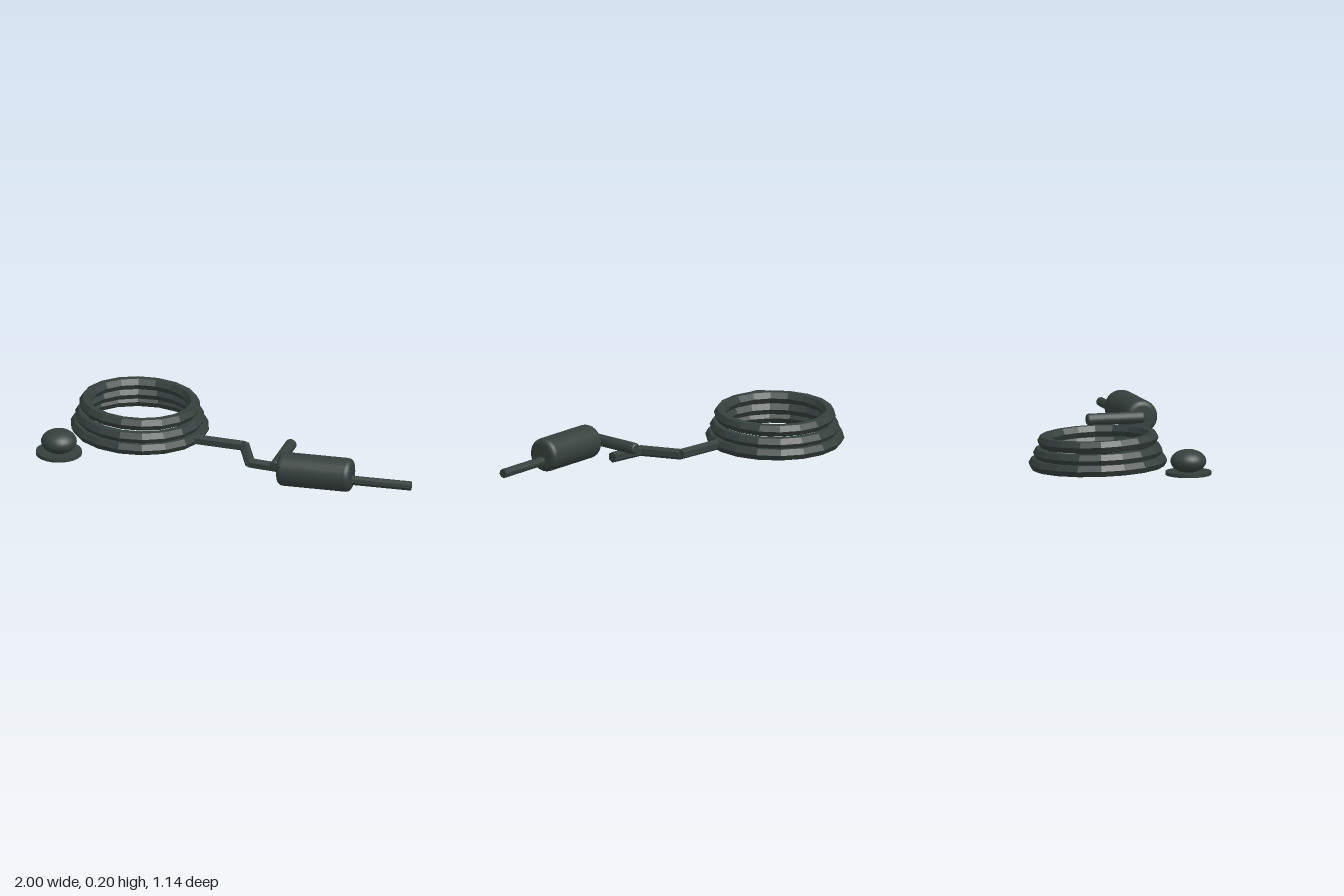
import * as THREE from 'three';

export function createModel() {
  const model = new THREE.Group();
  model.name = 'cableTool';

  const faceted = new THREE.MeshStandardMaterial({ color: 0x35403d, flatShading: true });
  faceted.name = 'dark grey';
  const smooth = faceted.clone();
  smooth.flatShading = false;
  smooth.name = 'dark grey smooth';

  function add(name, geometry, material) {
    const mesh = new THREE.Mesh(geometry, material);
    mesh.name = name;
    model.add(mesh);
    return mesh;
  }

  // Lays a y-axis shape between two points
  function span(mesh, a, b) {
    mesh.position.copy(a).add(b).multiplyScalar(0.5);
    mesh.quaternion.setFromUnitVectors(new THREE.Vector3(0, 1, 0), b.clone().sub(a).normalize());
    return mesh;
  }

  // Bar with rounded rims, turned as a lathe along y
  function roundedBar(radius, length, rim, sides) {
    const h = length / 2;
    const points = [new THREE.Vector2(0, -h)];
    for (const end of [-1, 1]) {
      for (let i = 0; i <= 5; i++) {
        const a = (end < 0 ? i - 5 : i) / 5 * Math.PI / 2;
        points.push(new THREE.Vector2(radius - rim + rim * Math.cos(a), end * (h - rim) + rim * Math.sin(a)));
      }
    }
    points.push(new THREE.Vector2(0, h));
    return new THREE.LatheGeometry(points, sides);
  }

  const v = (x, y, z) => new THREE.Vector3(x, y, z);

  // Coil: three tilted loops that narrow upwards
  [[0.335, 0.043, 0.031], [0.311, 0.097, 0.034], [0.289, 0.163, 0.043]].forEach(([radius, y, tilt], i) => {
    const geometry = new THREE.TorusGeometry(radius, 0.034, 6, 18).rotateX(Math.PI / 2);
    const loop = add('coilLoop' + (i + 1), geometry, faceted);
    loop.position.set(-0.631, y, -0.074);
    loop.rotation.x = -tilt;
  });

  // Zigzag cable from the coil to the tool
  const path = [v(-0.31, 0.043, -0.155), v(-0.053, 0.043, -0.3), v(0.13, 0.043, -0.175), v(0.31, 0.043, -0.265)];
  for (let i = 0; i < 3; i++) {
    span(add('cable' + (i + 1), new THREE.CylinderGeometry(0.029, 0.029, path[i].distanceTo(path[i + 1]), 6), faceted),
      path[i], path[i + 1]);
  }

  // Tool body, side handle and front rod
  const axis = v(0.82, 0, -0.572);
  const centre = v(0.56, 0.11, -0.256);
  span(add('toolBody', roundedBar(0.09, 0.4, 0.03, 24), smooth),
    centre.clone().addScaledVector(axis, -0.2), centre.clone().addScaledVector(axis, 0.2));

  const handleA = v(0.212, 0.116, -0.395), handleB = v(0.378, 0.116, -0.128);
  span(add('sideHandle', roundedBar(0.031, handleA.distanceTo(handleB), 0.012, 14), smooth), handleA, handleB);

  const rodA = v(0.66, 0.081, -0.327), rodB = v(0.984, 0.081, -0.553);
  span(add('rod', new THREE.CylinderGeometry(0.025, 0.025, rodA.distanceTo(rodB), 8), faceted), rodA, rodB);

  // Domed knob on a flat disc
  add('knobBase', new THREE.CylinderGeometry(0.122, 0.122, 0.018, 24), smooth).position.set(-0.692, 0.017, 0.444);
  const knob = add('knob', new THREE.SphereGeometry(0.095, 24, 16), smooth);
  knob.scale.y = 0.66;
  knob.position.set(-0.692, 0.08, 0.444);

  return model;
}
